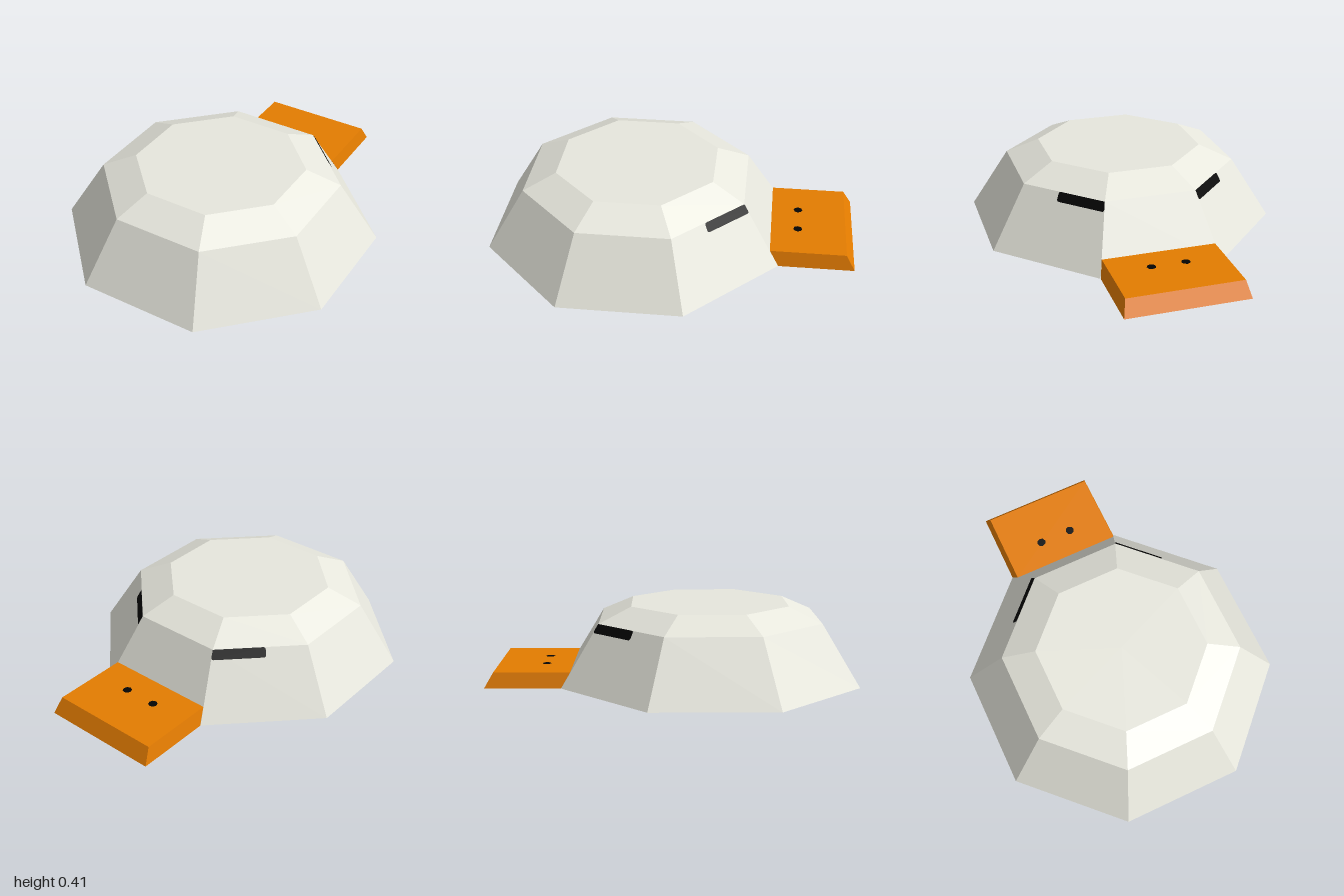
import * as THREE from 'three';

const CENTRE_Z = 0.205; // middle of the octagonal shell
const cos8 = Math.cos(Math.PI / 8);

function material(name, color, side = THREE.FrontSide) {
  const m = new THREE.MeshStandardMaterial({ color, side });
  m.name = name;
  return m;
}

// Give every face its own flat normal
function faceted(geometry) {
  const g = geometry.toNonIndexed();
  g.computeVertexNormals();
  return g;
}

// Octagonal surface with flat sides, from [apothem, y] pairs
function octagon(pairs) {
  const points = pairs.map(([a, y]) => new THREE.Vector2(a / cos8, y));
  return faceted(new THREE.LatheGeometry(points, 8, Math.PI / 8));
}

function addMesh(parent, name, geometry, mat) {
  const mesh = new THREE.Mesh(geometry, mat);
  mesh.name = name;
  parent.add(mesh);
  return mesh;
}

export function createModel() {
  const group = new THREE.Group();
  group.name = 'model';
  const shellMat = material('pale stone', 0xe8e8de, THREE.DoubleSide);
  const billMat = material('orange', 0xe47c00);
  const blackMat = material('black', 0x040404);

  // Thin octagonal shell, open below, with a flat rim turned inwards
  const shell = addMesh(group, 'shell',
    octagon([[0.795, 0], [0.5975, 0.333], [0.425, 0.415], [0, 0.415]]), shellMat);
  const rim = addMesh(group, 'rim', octagon([[0.733, 0], [0.795, 0]]), shellMat);
  shell.position.z = rim.position.z = CENTRE_Z;

  // Bill: a box tapering towards its top, its back lying on the shell wall
  const billGeo = new THREE.BoxGeometry(1, 1, 1);
  const p = billGeo.attributes.position;
  for (let i = 0; i < p.count; i++) {
    const top = p.getY(i) > 0;
    const back = p.getZ(i) < 0;
    p.setXYZ(i,
      Math.sign(p.getX(i)) * (top ? 0.309 : 0.329),
      top ? 0.083 : 0,
      back ? (top ? -0.952 : -1) : (top ? -0.5425 : -0.5915));
  }
  addMesh(group, 'bill', faceted(billGeo), billMat);

  // Slope of the shell wall that carries the eyes
  const slope = new THREE.Vector2(0.1975, 0.333).normalize();
  for (const s of [1, -1]) {
    const side = s > 0 ? 'left' : 'right';

    // Nostrils: flat discs on the bill
    const nostril = addMesh(group, side + 'Nostril', new THREE.CircleGeometry(0.025, 8), blackMat);
    nostril.rotation.x = -Math.PI / 2;
    nostril.position.set(s * 0.092, 0.084, -0.69);

    // Eye slit: u runs along the top edge of the wall, v down it
    const u = (v) => -s * v;
    const shape = new THREE.Shape();
    shape.moveTo(u(0), 0);
    shape.lineTo(u(0.26), 0);
    shape.quadraticCurveTo(u(0.274), 0, u(0.274), -0.014);
    shape.lineTo(u(0.274), -0.04);
    shape.quadraticCurveTo(u(0.274), -0.054, u(0.26), -0.054);
    shape.lineTo(u(0.002), -0.054);
    shape.quadraticCurveTo(u(-0.01), -0.054, u(-0.009), -0.04);
    shape.closePath();
    const eye = addMesh(group, side + 'Eye', new THREE.ShapeGeometry(shape, 4), blackMat);
    const out = new THREE.Vector3(s, 0, -1).normalize();
    const up = new THREE.Vector3(0, 1, 0);
    const right = up.clone().cross(out);
    const upWall = out.clone().multiplyScalar(-slope.x).addScaledVector(up, slope.y);
    const normal = right.clone().cross(upWall);
    eye.quaternion.setFromRotationMatrix(new THREE.Matrix4().makeBasis(right, upWall, normal));
    eye.position.set(s * 0.2475, 0.333, CENTRE_Z - 0.5975).addScaledVector(normal, 0.0015);
  }
  return group;
}
